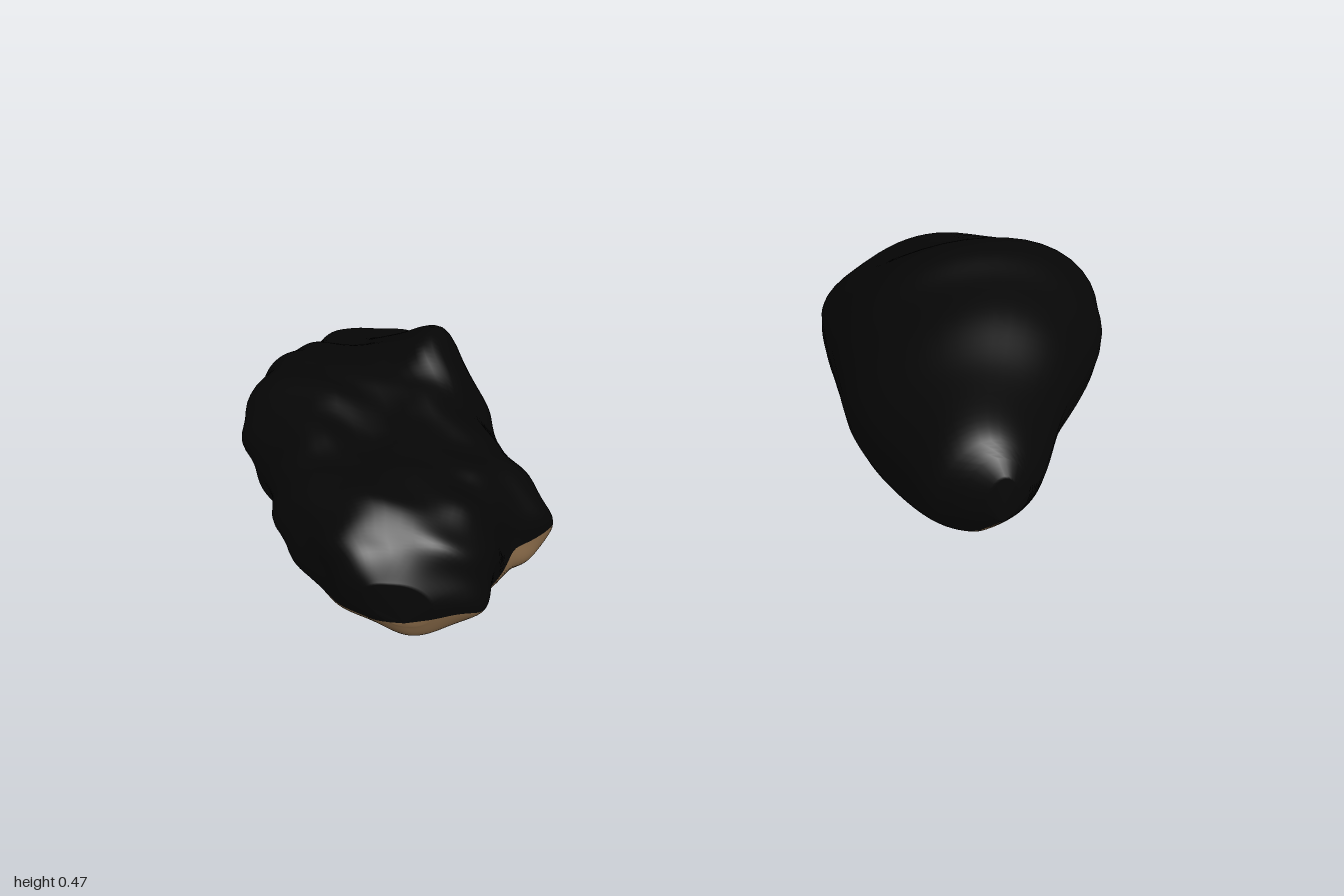
import * as THREE from 'three';

const black = new THREE.MeshStandardMaterial({ color: 0x060606 });
black.name = 'charcoalBlack';
const brown = new THREE.MeshStandardMaterial({ color: 0x8b6c4a });
brown.name = 'earthBrown';

// Station columns: z, xMin, xMax, top, bottom, waist, coat edge at xMin, coat edge at xMax
const smoothStations = [
  [-0.54, 0.68, 0.80, 0.24, 0.15, 0.20, 0.18, 0.18],
  [-0.50, 0.53, 0.87, 0.30, 0.08, 0.21, 0.16, 0.20],
  [-0.40, 0.42, 0.96, 0.345, 0.035, 0.23, 0.12, 0.17],
  [-0.28, 0.36, 1.00, 0.40, 0.01, 0.25, 0.10, 0.12],
  [-0.18, 0.34, 1.00, 0.46, 0.00, 0.25, 0.08, 0.105],
  [-0.10, 0.33, 0.98, 0.475, 0.00, 0.25, 0.07, 0.12],
  [0.00, 0.32, 0.95, 0.45, 0.00, 0.25, 0.07, 0.15],
  [0.12, 0.315, 0.87, 0.43, 0.005, 0.24, 0.07, 0.145],
  [0.25, 0.335, 0.765, 0.39, 0.025, 0.23, 0.07, 0.135],
  [0.40, 0.38, 0.67, 0.352, 0.07, 0.22, 0.085, 0.15],
  [0.46, 0.44, 0.62, 0.315, 0.12, 0.21, 0.11, 0.13],
  [0.495, 0.51, 0.58, 0.27, 0.16, 0.21, 0.14, 0.14],
];
const roughStations = [
  [-0.55, -0.72, -0.61, 0.14, 0.06, 0.10, 0.20, 0.20],
  [-0.51, -0.79, -0.57, 0.165, 0.04, 0.11, 0.22, 0.22],
  [-0.46, -0.82, -0.54, 0.215, 0.035, 0.13, 0.18, 0.18],
  [-0.36, -0.87, -0.52, 0.25, 0.03, 0.15, 0.17, 0.16],
  [-0.22, -0.95, -0.49, 0.31, 0.025, 0.18, 0.17, 0.16],
  [-0.08, -0.98, -0.46, 0.345, 0.02, 0.19, 0.16, 0.15],
  [0.02, -0.985, -0.45, 0.35, 0.02, 0.20, 0.15, 0.14],
  [0.16, -0.95, -0.40, 0.33, 0.02, 0.18, 0.14, 0.13],
  [0.25, -0.93, -0.375, 0.33, 0.03, 0.17, 0.14, 0.11],
  [0.33, -0.91, -0.45, 0.345, 0.035, 0.18, 0.14, 0.11],
  [0.43, -0.86, -0.50, 0.345, 0.05, 0.19, 0.14, 0.10],
  [0.51, -0.81, -0.54, 0.30, 0.08, 0.20, 0.13, 0.11],
  [0.545, -0.76, -0.64, 0.24, 0.13, 0.19, 0.14, 0.14],
];

// Catmull-Rom through the stations, all columns at once
function sampleStation(stations, t) {
  const f = t * (stations.length - 1);
  const k = Math.min(Math.floor(f), stations.length - 2), u = f - k;
  const at = (i) => stations[THREE.MathUtils.clamp(i, 0, stations.length - 1)];
  return stations[0].map((_, c) => {
    const [a, b, d, e] = [at(k - 1)[c], at(k)[c], at(k + 1)[c], at(k + 2)[c]];
    return b + 0.5 * u * (d - a + u * (2 * a - 5 * b + 4 * d - e + u * (3 * (b - d) + e - a)));
  });
}

const pow = (v, p) => Math.sign(v) * Math.abs(v) ** p;

// Loft of rounded sections: the dark coat above its edge, bare stone below
function makeRock(name, stations, { crown, side, taper, tilt, rows, cols, displace }) {
  const pos = [], dark = [], bare = [];
  const addRing = (s, shrink, dz) => {
    const [z, x0, x1, top, bottom, waist, edgeL, edgeR] = s;
    const cx = (x0 + x1) / 2, w = (x1 - x0) / 2;
    const midY = THREE.MathUtils.clamp((edgeL + edgeR) / 2, bottom, top);
    const point = (a) => {
      const sn = Math.sin(a), c = Math.cos(a), above = sn > 0;
      return [
        cx + w * pow(c, above ? side : taper),
        waist - tilt * w * c + (above ? (top - waist) * pow(sn, crown) : (waist - bottom) * pow(sn, 0.85)),
      ];
    };
    // Angle at which one side of the section meets the coat edge
    const findAngle = (y, left) => {
      let lo = -1.45, hi = 1.45;
      for (let i = 0; i < 24; i++) {
        const m = (lo + hi) / 2;
        if (point(left ? Math.PI - m : m)[1] < y) lo = m; else hi = m;
      }
      return lo;
    };
    const aR = findAngle(edgeR, false), aL = Math.PI - findAngle(edgeL, true);
    for (let j = 0; j < 2 * cols; j++) {
      const a = j < cols
        ? aR + (aL - aR) * j / cols
        : aL + (aR + 2 * Math.PI - aL) * (j - cols) / cols;
      const [x, y] = point(a);
      const p = new THREE.Vector3(cx + (x - cx) * shrink, midY + (y - midY) * shrink, z + dz);
      displace(p);
      pos.push(p.x, Math.max(p.y, 0), p.z);
    }
  };

  // Rings, with closing rings at both ends
  addRing(stations[0], 0.001, -0.004);
  for (let i = 0; i <= rows; i++) addRing(sampleStation(stations, i / rows), 1, 0);
  addRing(stations[stations.length - 1], 0.001, 0.004);

  const n = 2 * cols;
  for (let i = 0; i < rows + 2; i++) {
    for (let j = 0; j < n; j++) {
      const k = (j + 1) % n;
      const a = i * n + j, b = i * n + k, c = b + n, d = a + n;
      (j < cols ? dark : bare).push(a, b, d, b, c, d);
    }
  }
  const geo = new THREE.BufferGeometry();
  geo.setAttribute('position', new THREE.Float32BufferAttribute(pos, 3));
  geo.setIndex([...dark, ...bare]);
  geo.addGroup(0, dark.length, 0);
  geo.addGroup(dark.length, bare.length, 1);
  geo.computeVertexNormals();
  const mesh = new THREE.Mesh(geo, [black, brown]);
  mesh.name = name;
  return mesh;
}

// Craggy surface: a high ridge, a shallow gully, ledges and small lumps
function crag(p) {
  const { x, y, z } = p;
  const up = THREE.MathUtils.smoothstep(y, 0.15, 0.27);
  const bump = (cx, cz, rx, rz) => Math.exp(-(((x - cx) / rx) ** 2) - ((z - cz) / rz) ** 2);
  p.y += up * (0.115 * bump(-0.56, -0.15, 0.085, 0.14) + 0.015 * bump(-0.86, 0.05, 0.08, 0.2)
    - 0.02 * bump(-0.72, 0.12, 0.06, 0.2));
  p.x += 0.006 * Math.sin(23 * z + 19 * y) + 0.004 * Math.sin(47 * z - 40 * y + 1);
  p.y += 0.005 * Math.sin(31 * x + 13 * z) + 0.003 * Math.sin(41 * z - 37 * x + 2);
  p.z += 0.004 * Math.sin(42 * y + 29 * x);
}

// Faint undulation of the worn stone
function worn(p) {
  const { x, y, z } = p;
  p.x += 0.003 * Math.sin(14 * z + 11 * y);
  p.y += 0.003 * Math.sin(13 * x - 12 * z);
}

export function createModel() {
  const group = new THREE.Group();
  group.name = 'rockPair';
  group.add(
    makeRock('smoothRock', smoothStations,
      { crown: 1.25, side: 1, taper: 1.35, tilt: -0.03, rows: 70, cols: 28, displace: worn }),
    makeRock('craggyRock', roughStations,
      { crown: 1, side: 0.8, taper: 0.9, tilt: 0.2, rows: 110, cols: 40, displace: crag }),
  );
  return group;
}
